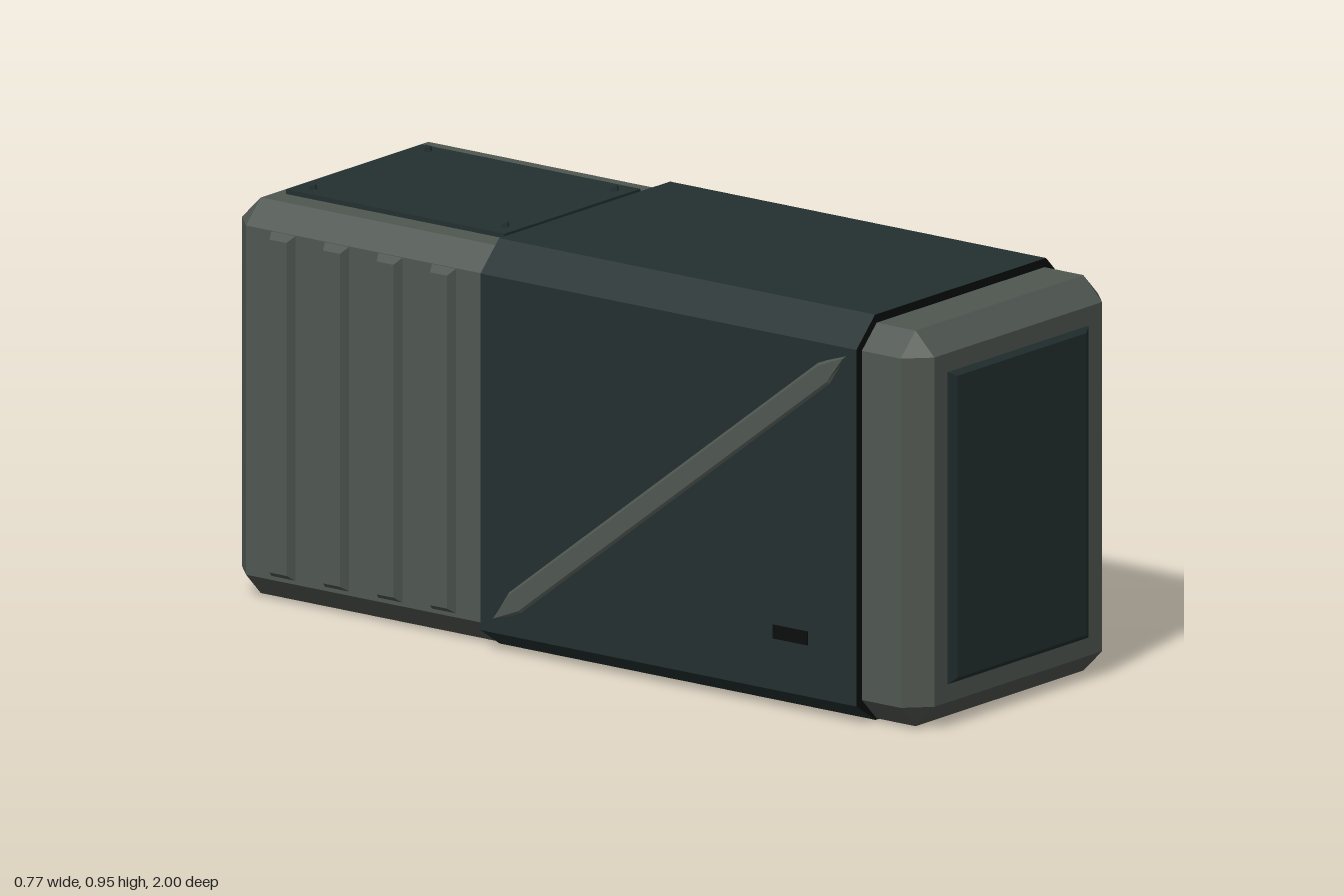
import * as THREE from 'three';
import { ConvexGeometry } from 'three/addons/geometries/ConvexGeometry.js';

const mat = (name, color) => new THREE.MeshStandardMaterial({ name, color });

// Box with every edge and corner cut by c
function chamferBox(hx, hy, hz, c) {
  const pts = [];
  for (const x of [-1, 1]) for (const y of [-1, 1]) for (const z of [-1, 1]) {
    pts.push(new THREE.Vector3(x * hx, y * (hy - c), z * (hz - c)));
    pts.push(new THREE.Vector3(x * (hx - c), y * hy, z * (hz - c)));
    pts.push(new THREE.Vector3(x * (hx - c), y * (hy - c), z * hz));
  }
  return new ConvexGeometry(pts);
}

// Raised plate along +z, tapering from base half-size to top half-size
function frustum(bx, by, tx, ty, depth) {
  const pts = [];
  for (const x of [-1, 1]) for (const y of [-1, 1]) {
    pts.push(new THREE.Vector3(x * bx, y * by, 0));
    pts.push(new THREE.Vector3(x * tx, y * ty, depth));
  }
  return new ConvexGeometry(pts);
}

export function createModel() {
  const model = new THREE.Group();
  model.name = 'armouredCase';
  const grey = mat('caseGrey', 0x505751);
  const teal = mat('darkTeal', 0x232f30);
  const black = mat('trimBlack', 0x0b0d0d);

  const add = (name, geometry, material, x = 0, y = 0, z = 0, parent = model) => {
    const mesh = new THREE.Mesh(geometry, material);
    mesh.name = name;
    mesh.position.set(x, y, z);
    parent.add(mesh);
    return mesh;
  };

  // Main chamfered body
  add('body', chamferBox(0.36, 0.461, 0.99, 0.054), grey, 0, 0.464, 0);

  // Sleeve around the front half, with black end rims
  const outline = new THREE.Shape([
    [-0.31, 0], [0.31, 0], [0.38, 0.046], [0.38, 0.877],
    [0.312, 0.945], [-0.312, 0.945], [-0.38, 0.877], [-0.38, 0.046],
  ].map(([x, y]) => new THREE.Vector2(x, y)));
  add('sleeve', new THREE.ExtrudeGeometry(outline, { depth: 1.075, bevelEnabled: false }),
    [black, teal], 0, 0, -0.25);

  // Bevelled end panels
  for (const s of [1, -1]) {
    const panel = add(s > 0 ? 'frontPanel' : 'backPanel',
      frustum(0.275, 0.373, 0.235, 0.352, 0.018), teal, 0, 0.463, s * 0.982);
    if (s < 0) panel.rotation.y = Math.PI;
  }

  // Top hatch plate with bolts
  add('hatchPlate', new THREE.BoxGeometry(0.495, 0.014, 0.625), teal, 0, 0.929, -0.597);
  for (const [x, z] of [[0.21, -0.87], [0.2, -0.328]]) for (const s of [1, -1]) {
    const bolt = new THREE.CylinderGeometry(0.014, 0.017, 0.012, 6).toNonIndexed();
    bolt.computeVertexNormals();
    add('hatchBolt', bolt, teal, s * x, 0.94, z);
  }

  // Pointed diagonal bar, drawn along its own length
  const from = new THREE.Vector2(-0.8, 0.86), to = new THREE.Vector2(0.22, 0.073);
  const half = from.distanceTo(to) / 2 - 0.012, w = 0.021;
  const barShape = new THREE.Shape([
    [-half, 0], [-half + 0.075, -w], [half - 0.075, -w],
    [half, 0], [half - 0.075, w], [-half + 0.075, w],
  ].map(([x, y]) => new THREE.Vector2(x, y)));
  const barGeometry = new THREE.ExtrudeGeometry(barShape, {
    depth: 0.002, bevelEnabled: true, bevelThickness: 0.008, bevelSize: 0.01, bevelSegments: 1,
  });

  // Side details; local +z points outwards, so each side is one rotated group
  for (const s of [1, -1]) {
    const side = new THREE.Group();
    side.name = s > 0 ? 'leftSide' : 'rightSide';
    side.rotation.y = s * Math.PI / 2;
    model.add(side);

    for (let i = 0; i < 4; i++) {
      add('rib', frustum(0.037, 0.405, 0.024, 0.388, 0.025), grey,
        s * (0.37 + i * 0.153), 0.468, 0.355, side);
    }

    const bar = add('diagonalBar', barGeometry, grey,
      s * (from.x + to.x) / 2, (from.y + to.y) / 2, 0.375, side);
    bar.rotation.z = s * Math.atan2(to.y - from.y, to.x - from.x);

    add('sideSlot', new THREE.BoxGeometry(0.098, 0.032, 0.006), black,
      s * -0.637, 0.182, 0.38, side);
  }

  return model;
}
